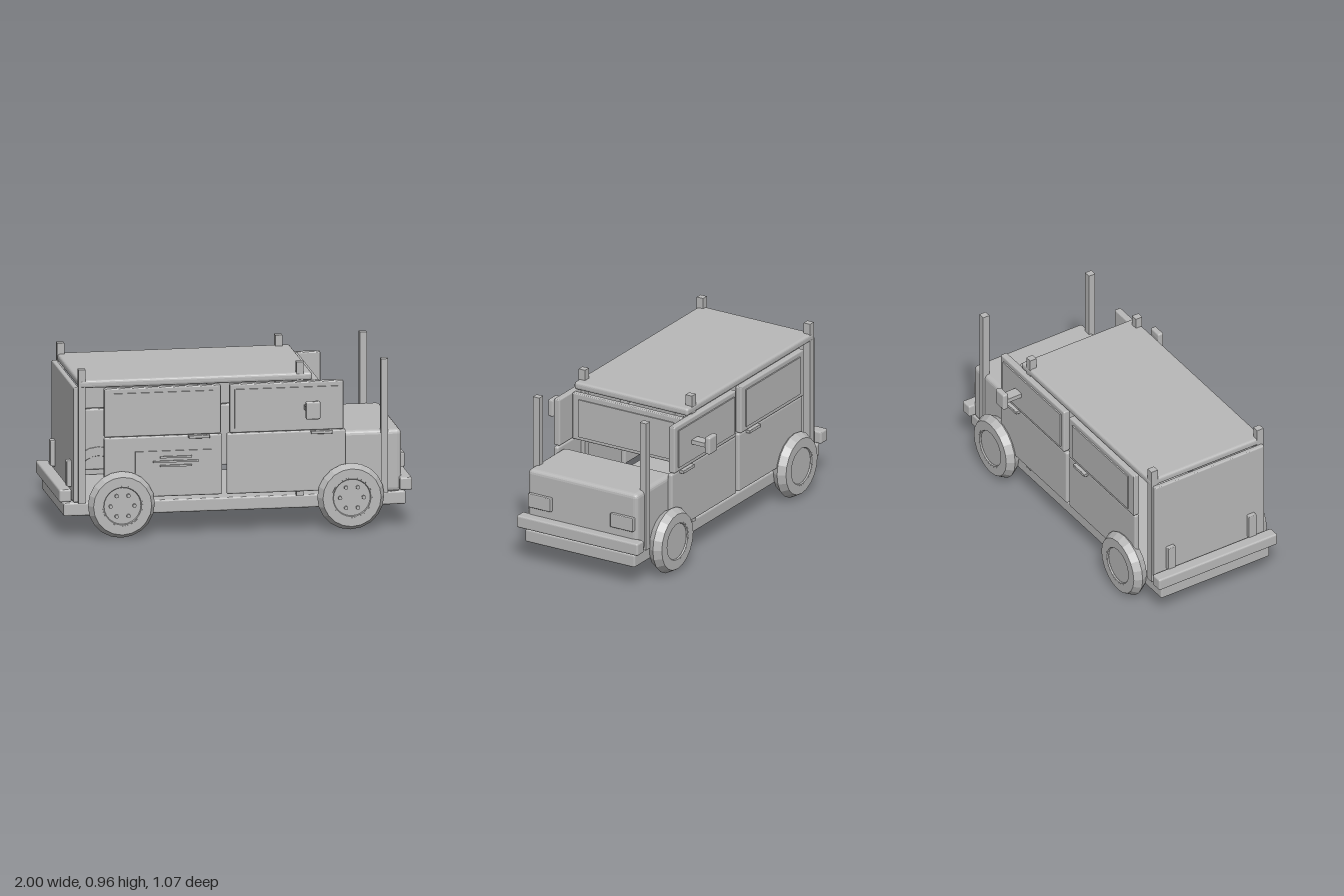
import * as THREE from 'three';
import { RoundedBoxGeometry } from 'three/addons/geometries/RoundedBoxGeometry.js';

const grey = new THREE.MeshStandardMaterial({ color: 0xb8b8b8 });
grey.name = 'plainGrey';
grey.flatShading = true;

export function createModel() {
  const model = new THREE.Group();
  model.name = 'boxyVan';

  const add = (name, geometry, x, y, z) => {
    const mesh = new THREE.Mesh(geometry, grey);
    mesh.name = name;
    mesh.position.set(x, y, z);
    model.add(mesh);
    return mesh;
  };
  // Box given by its limits on each axis; r > 0 rounds the edges
  const box = (name, [x0, x1], [y0, y1], [z0, z1], r = 0) => {
    const size = [x1 - x0, y1 - y0, z1 - z0];
    const geometry = r ? new RoundedBoxGeometry(...size, 2, r) : new THREE.BoxGeometry(...size);
    return add(name, geometry, (x0 + x1) / 2, (y0 + y1) / 2, (z0 + z1) / 2);
  };
  // The same box on both sides of the van
  const pair = (name, xs, ys, [z0, z1], r) => {
    box(name + 'Left', xs, ys, [z0, z1], r);
    box(name + 'Right', xs, ys, [-z1, -z0], r);
  };

  // Chassis, bumpers, hood, roof and rear wall
  box('chassis', [-0.97, 0.97], [0.127, 0.203], [-0.362, 0.362], 0.01);
  box('frontBumper', [0.93, 1.0], [0.215, 0.288], [-0.4, 0.4], 0.01);
  box('rearBumper', [-1.0, -0.93], [0.215, 0.288], [-0.395, 0.395], 0.01);
  box('hood', [0.56, 0.945], [0.2, 0.557], [-0.362, 0.362], 0.025);
  box('roof', [-0.885, 0.437], [0.858, 0.903], [-0.376, 0.376], 0.015);
  box('rearWall', [-0.915, -0.885], [0.205, 0.865], [-0.365, 0.365], 0.008);

  // Windshield and its glass
  box('windshieldFrame', [0.445, 0.48], [0.578, 0.857], [-0.36, 0.36], 0.008);
  box('windshieldGlass', [0.479, 0.487], [0.6, 0.825], [-0.315, 0.315]);

  // Upright posts, standing on the chassis
  for (const x of [-0.868, 0.368, 0.847]) {
    pair('post', [x - 0.02, x + 0.02], [0.2, 0.965], [0.332, 0.374]);
  }

  // Lights
  pair('headlight', [0.935, 0.965], [0.337, 0.42], [0.195, 0.347], 0.006);
  pair('tailLight', [-0.942, -0.91], [0.28, 0.43], [0.245, 0.295], 0.006);

  // Doors with windows and handles
  const doors = [
    { lower: [-0.745, -0.075], upper: [-0.745, -0.085], glass: [-0.695, -0.13], handle: [-0.27, -0.15] },
    { lower: [-0.05, 0.625], upper: [-0.035, 0.61], glass: [-0.008, 0.577], handle: [0.425, 0.545] },
  ];
  for (const d of doors) {
    pair('door', d.lower, [0.227, 0.575], [0.36, 0.392], 0.01);
    pair('windowFrame', d.upper, [0.578, 0.857], [0.36, 0.4], 0.008);
    pair('windowGlass', d.glass, [0.605, 0.828], [0.399, 0.408]);
    pair('handle', d.handle, [0.558, 0.577], [0.385, 0.418], 0.004);
  }

  // Raised panel with three bars on the left rear door
  box('sidePanel', [-0.57, -0.115], [0.367, 0.49], [0.39, 0.4]);
  for (const [y, half] of [[0.455, 0.09], [0.43, 0.13], [0.405, 0.09]]) {
    box('panelBar', [-0.34 - half, -0.34 + half], [y - 0.005, y + 0.005], [0.4, 0.409]);
  }

  // Side mirrors
  pair('mirrorArm', [0.383, 0.447], [0.703, 0.728], [0.395, 0.505]);
  pair('mirror', [0.375, 0.457], [0.667, 0.77], [0.5, 0.535], 0.01);

  // Wheels: six-sided tyre section with a flat rim; bolts on the left side
  const tyre = new THREE.TorusGeometry(0.14, 0.05, 6, 20);
  const rim = new THREE.CylinderGeometry(0.108, 0.108, 0.068, 24).rotateX(Math.PI / 2);
  const rimRing = new THREE.TorusGeometry(0.112, 0.008, 6, 24);
  const bolt = new THREE.CylinderGeometry(0.011, 0.011, 0.018, 8).rotateX(Math.PI / 2);
  for (const x of [-0.65, 0.65]) {
    for (const side of [1, -1]) {
      add('tyre', tyre, x, 0.193, side * 0.401);
      add('rim', rim, x, 0.193, side * 0.401);
      add('rimRing', rimRing, x, 0.193, side * 0.437);
    }
    for (let i = 0; i < 6; i++) {
      const a = (i * Math.PI) / 3;
      add('wheelBolt', bolt, x + 0.067 * Math.cos(a), 0.193 + 0.067 * Math.sin(a), 0.441);
    }
  }
  return model;
}
